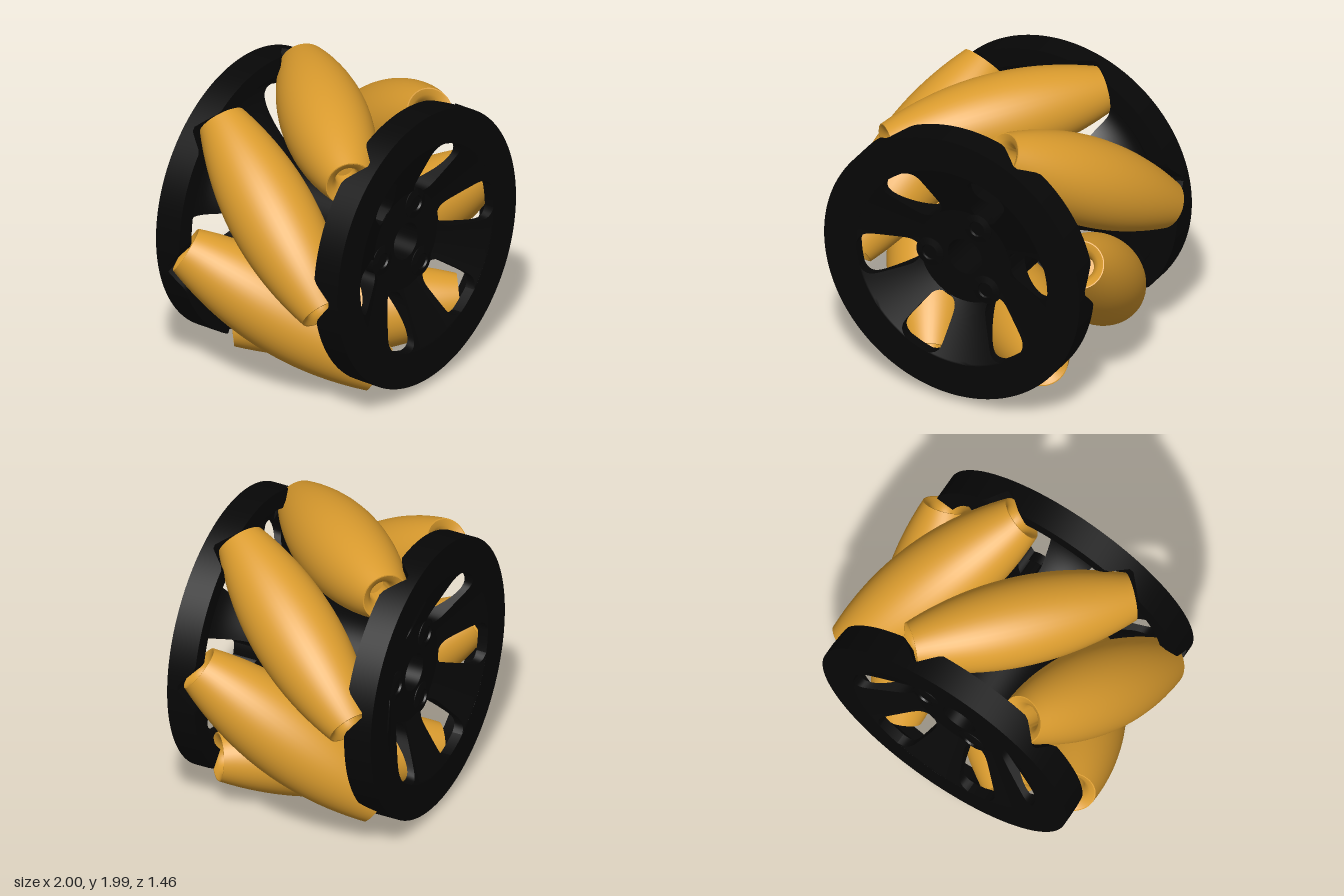
import * as THREE from 'three';
import { toCreasedNormals } from 'three/addons/utils/BufferGeometryUtils.js';

const DEG = Math.PI / 180;
const COUNT = 6;
const black = new THREE.MeshStandardMaterial({ color: 0x070707 });
const amber = new THREE.MeshStandardMaterial({ color: 0xdb9c2e });

const clamp01 = (t) => Math.min(1, Math.max(0, t));

function part(name, geometry, material, crease = 0.6) {
  const mesh = new THREE.Mesh(toCreasedNormals(geometry, crease), material);
  mesh.name = name;
  return mesh;
}

// Solid of revolution about z from [radius, z] pairs
function turned(profile, segments) {
  const points = profile.map(([r, z]) => new THREE.Vector2(r, z));
  return new THREE.LatheGeometry(points, segments).rotateX(Math.PI / 2);
}

// Moves each vertex by a rule
function reshape(geometry, rule) {
  const pos = geometry.attributes.position;
  const v = new THREE.Vector3();
  for (let i = 0; i < pos.count; i++) {
    rule(v.fromBufferAttribute(pos, i));
    pos.setXYZ(i, v.x, v.y, v.z);
  }
  return geometry;
}

// Rim ring whose inner face has a V-shaped pocket for each roller end
function rimGeometry() {
  const profile = [
    [0.7, 0.66], [0.79, 0.62], [0.81, 0.54], [0.935, 0.54], [0.935, 0.73], [0.7, 0.73], [0.7, 0.66],
  ];
  return reshape(turned(profile, 180), (v) => {
    if (v.z > 0.7) return;
    const a = ((Math.atan2(v.y, v.x) / DEG) + 360.001) % 60;
    v.z = Math.max(v.z, 0.67 - (a < 25 ? (25 - a) * 0.016 : (a - 25) * 0.013));
  });
}

// Dished spoke, thinning outwards, that fills the gap between two rounded windows
function spokeGeometry() {
  return reshape(new THREE.BoxGeometry(1, 1, 1, 28, 12, 1), (v) => {
    const t = 0.5 - 0.5 * Math.cos(Math.PI * (v.x + 0.5));
    const r = 0.33 + 0.38 * t;
    const round = Math.sqrt(Math.max(0, 1 - Math.abs(2 * t - 1) ** 6));
    const halfWindow = (0.08 + 0.085 * t) * round;
    const angle = 2 * v.y * (30 * DEG - Math.asin(halfWindow / r));
    const k = clamp01((r - 0.33) / 0.37);
    const z = v.z > 0 ? 0.56 + 0.17 * k : 0.38 + 0.28 * Math.sin(k * Math.PI / 2);
    v.set(r * Math.cos(angle), r * Math.sin(angle), z);
  });
}

// Barrel roller with a cupped bore in each end
function rollerGeometry() {
  const H = 0.73;
  const cup = [[0, H - 0.22], [0.07, H - 0.22], [0.075, H - 0.1], [0.09, H - 0.05], [0.115, H - 0.02], [0.15, H]];
  const profile = cup.map(([r, z]) => [r, -z]);
  for (let i = 0; i <= 24; i++) {
    const s = i / 12 - 1;
    profile.push([0.287 - 0.13 * s * s, s * H]);
  }
  profile.push(...cup.reverse());
  return turned(profile, 48);
}

function createPlate() {
  const plate = new THREE.Group();
  plate.add(part('rim', rimGeometry(), black));
  const spoke = spokeGeometry();
  for (let i = 0; i < COUNT; i++) {
    const mesh = part('spoke', spoke, black);
    mesh.rotation.z = i * 60 * DEG;
    plate.add(mesh);
  }
  // Three low bolt bosses around the bore
  const boss = turned([[0, 0.5], [0.1, 0.5], [0.1, 0.565], [0.055, 0.575], [0.05, 0.562], [0, 0.562]], 28);
  for (let i = 0; i < 3; i++) {
    const a = (30 + i * 120) * DEG;
    const mesh = part('boltBoss', boss, black);
    mesh.position.set(0.255 * Math.cos(a), 0.255 * Math.sin(a), 0);
    plate.add(mesh);
  }
  return plate;
}

export function createModel() {
  const model = new THREE.Group();
  model.name = 'rollerWheel';

  const wheel = new THREE.Group();
  wheel.name = 'wheel';
  wheel.position.y = 1;
  wheel.rotation.z = 38 * DEG;
  model.add(wheel);

  // Side plates: the back one is the front one turned over
  const front = createPlate();
  front.name = 'frontPlate';
  const back = createPlate();
  back.name = 'backPlate';
  back.rotation.x = Math.PI;
  wheel.add(front, back);

  // Hub with a through bore
  wheel.add(part('hub', turned([
    [0.125, -0.56], [0.34, -0.56], [0.34, 0.56], [0.125, 0.56], [0.125, -0.56],
  ], 60), black));

  // Slanted rollers around the circumference
  const roller = rollerGeometry();
  for (let i = 0; i < COUNT; i++) {
    const arm = new THREE.Group();
    arm.name = 'rollerMount';
    arm.rotation.z = i * 60 * DEG;
    const mesh = part('roller', roller, amber, 0.5);
    mesh.position.x = 0.71;
    mesh.rotation.x = -41 * DEG;
    arm.add(mesh);
    wheel.add(arm);
  }
  return model;
}
